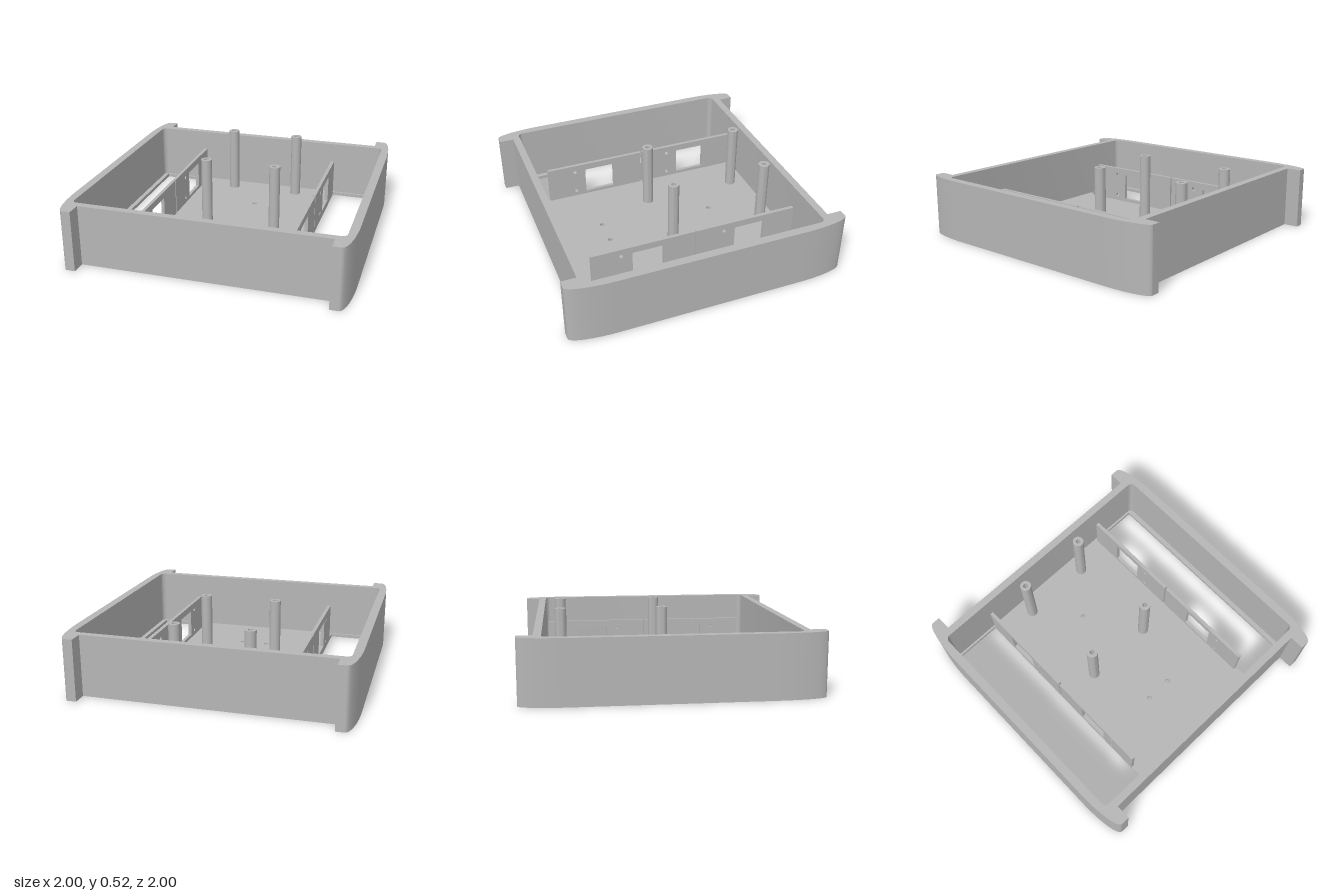
import * as THREE from 'three';
import { toCreasedNormals } from 'three/addons/utils/BufferGeometryUtils.js';

const WALL_H = 0.44, FLOOR_H = 0.025, BRACKET_TOP = 0.3;

// Trace a rectangle with optional rounded corners
function rectPath(path, x0, y0, x1, y1, r = 0) {
  if (!r) {
    path.moveTo(x0, y0).lineTo(x1, y0).lineTo(x1, y1).lineTo(x0, y1).closePath();
    return path;
  }
  path.moveTo(x0 + r, y0);
  path.absarc(x1 - r, y0 + r, r, -Math.PI / 2, 0);
  path.absarc(x1 - r, y1 - r, r, 0, Math.PI / 2);
  path.absarc(x0 + r, y1 - r, r, Math.PI / 2, Math.PI);
  path.absarc(x0 + r, y0 + r, r, Math.PI, Math.PI * 1.5);
  path.closePath();
  return path;
}

function circlePath(x, y, r) {
  const p = new THREE.Path();
  p.absarc(x, y, r, 0, Math.PI * 2);
  return p;
}

function extrude(shape, depth, curveSegments = 12) {
  const g = new THREE.ExtrudeGeometry(shape, { depth, bevelEnabled: false, curveSegments });
  return toCreasedNormals(g, 0.6);
}

// Plan shapes use (x, -z) and are extruded upwards
const extrudePlan = (shape, depth, seg) => extrude(shape, depth, seg).rotateX(-Math.PI / 2);

export function createModel() {
  const model = new THREE.Group();
  model.name = 'chassisTray';
  const grey = new THREE.MeshStandardMaterial({ color: 0xb6b6b6 });
  grey.name = 'grey plastic';

  const add = (name, geometry, x = 0, y = 0, z = 0) => {
    const mesh = new THREE.Mesh(geometry, grey);
    mesh.name = name;
    mesh.position.set(x, y, z);
    model.add(mesh);
    return mesh;
  };

  // Outer wall: bowed corners that run on into four short ears
  const ear = 0.875, end = 0.895, cx = 0.935, cz = 0.66, rx = 0.065, rz = 0.34;
  const wall = new THREE.Shape();
  wall.moveTo(-ear, -end);
  wall.lineTo(ear, -end);
  wall.lineTo(ear, -1);
  wall.lineTo(cx, -1);
  wall.absellipse(cx, -cz, rx, rz, -Math.PI / 2, 0, false);
  wall.absellipse(cx, cz, rx, rz, 0, Math.PI / 2, false);
  wall.lineTo(ear, 1);
  wall.lineTo(ear, end);
  wall.lineTo(-ear, end);
  wall.lineTo(-ear, 1);
  wall.lineTo(-cx, 1);
  wall.absellipse(-cx, cz, rx, rz, Math.PI / 2, Math.PI, false);
  wall.absellipse(-cx, -cz, rx, rz, Math.PI, Math.PI * 1.5, false);
  wall.lineTo(-ear, -1);
  wall.closePath();
  wall.holes.push(rectPath(new THREE.Path(), -0.94, -0.842, 0.94, 0.842, 0.035));
  add('outerWall', extrudePlan(wall, WALL_H, 20));

  // Floor with two wheel slots and three screw holes
  const floor = rectPath(new THREE.Shape(), -0.94, -0.842, 0.94, 0.842, 0.035);
  for (const [x0, x1] of [[-0.905, -0.562], [0.562, 0.905]]) {
    floor.holes.push(rectPath(new THREE.Path(), x0, -0.826, x1, 0.826));
  }
  for (const [x, z] of [[0, -0.41], [-0.095, 0.43], [0.1, 0.43]]) {
    floor.holes.push(circlePath(x, -z, 0.018));
  }
  add('floor', extrudePlan(floor, FLOOR_H));

  // Motor brackets: upright plates with a window and two screw holes each
  const bracket = rectPath(new THREE.Shape(), 0, FLOOR_H, 0.762, BRACKET_TOP);
  bracket.holes.push(rectPath(new THREE.Path(), 0.235, 0.05, 0.465, 0.25));
  for (const y of [0.068, 0.242]) bracket.holes.push(circlePath(0.548, y, 0.015));
  const bracketGeometry = extrude(bracket, 0.025).rotateY(-Math.PI / 2);
  for (const side of [-1, 1]) {
    for (const [name, z] of [['rear', -0.82], ['front', -0.047]]) {
      add(`${name}MotorBracket`, bracketGeometry, side > 0 ? 0.562 : -0.537, 0, z);
    }
  }

  // Standoff posts with a blind screw hole in the top
  const profile = [[0.04, FLOOR_H], [0.04, 0.52], [0.018, 0.52], [0.018, 0.42], [0, 0.42]];
  const postGeometry = toCreasedNormals(
    new THREE.LatheGeometry(profile.map(([x, y]) => new THREE.Vector2(x, y)), 32), 0.6);
  for (const x of [-0.263, 0.263]) {
    for (const z of [-0.72, -0.005]) add('standoffPost', postGeometry, x, 0, z);
  }

  return model;
}
